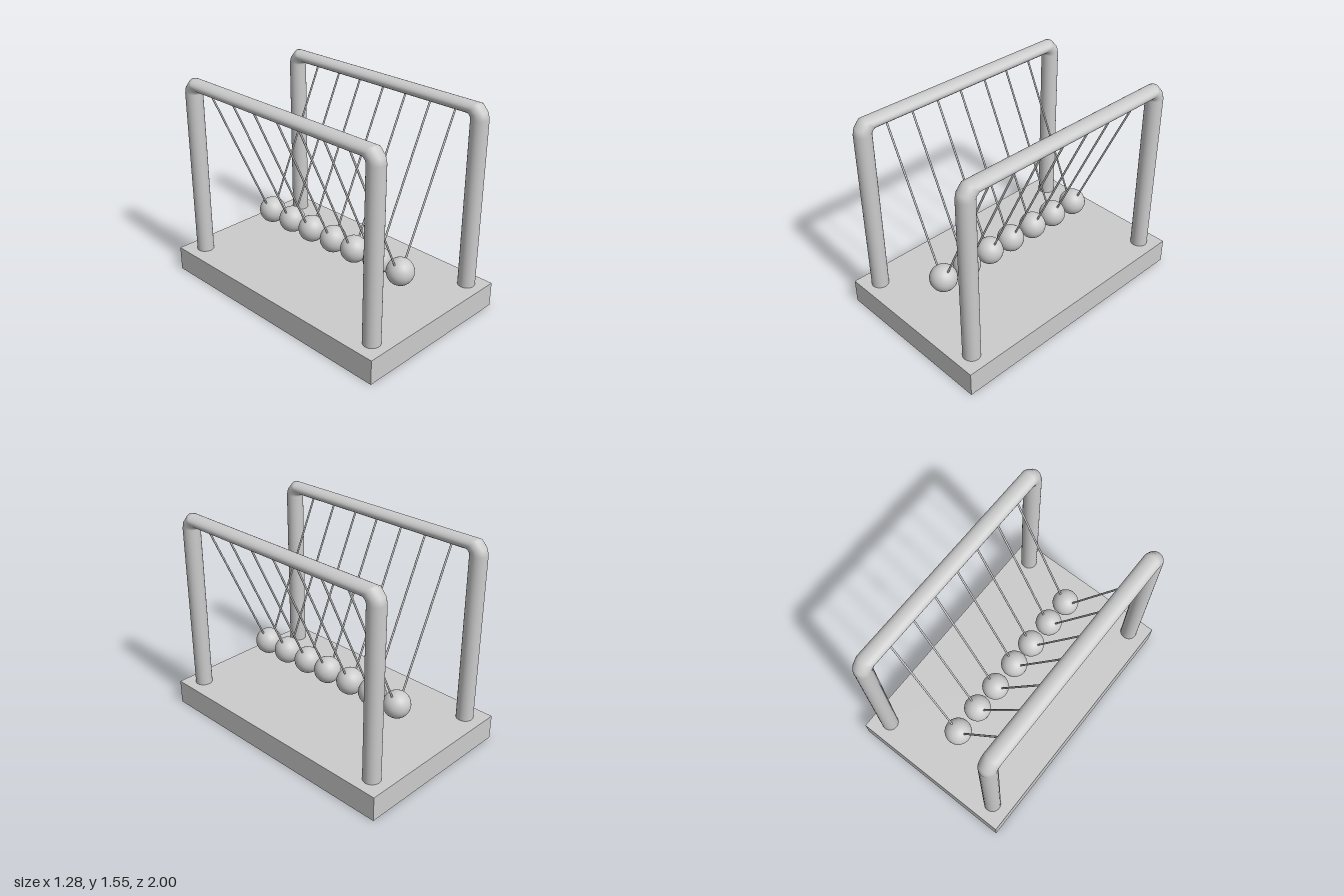
import * as THREE from 'three';

const BASE_TOP = 0.185;
const BALL_Y = 0.42;
const BALL_Z = [0.675, 0.46, 0.24, 0.032, -0.195, -0.408, -0.634];

// Pipe swept through rings; each ring spans an outer and inner point [z, y] and has half-width r in x
function ringPipe(rings, r, sides = 32) {
  const pos = [], index = [];
  for (const [[oz, oy], [iz, iy]] of rings) {
    for (let s = 0; s < sides; s++) {
      const a = (s / sides) * Math.PI * 2, c = Math.cos(a) / 2;
      pos.push(r * Math.sin(a), (oy + iy) / 2 + (oy - iy) * c, (oz + iz) / 2 + (oz - iz) * c);
    }
  }
  for (let k = 0; k < rings.length - 1; k++) {
    for (let s = 0; s < sides; s++) {
      const a = k * sides + s, b = k * sides + (s + 1) % sides;
      index.push(a, a + sides, b, b, a + sides, b + sides);
    }
  }
  const geo = new THREE.BufferGeometry();
  geo.setAttribute('position', new THREE.Float32BufferAttribute(pos, 3));
  geo.setIndex(index);
  geo.computeVertexNormals();
  return geo;
}

// Thin round rod between two points
function rod(from, to, radius) {
  const dir = to.clone().sub(from);
  const geo = new THREE.CylinderGeometry(radius, radius, dir.length(), 10);
  geo.applyQuaternion(new THREE.Quaternion().setFromUnitVectors(
    new THREE.Vector3(0, 1, 0), dir.normalize()));
  const mid = from.clone().add(to).multiplyScalar(0.5);
  return geo.translate(mid.x, mid.y, mid.z);
}

export function createModel() {
  const group = new THREE.Group();
  const material = new THREE.MeshStandardMaterial({ color: 0xcccccc });
  const pipeMaterial = new THREE.MeshStandardMaterial({ color: 0xcccccc, side: THREE.DoubleSide });
  const add = (name, geo, mat = material) => {
    const mesh = new THREE.Mesh(geo, mat);
    mesh.name = name;
    group.add(mesh);
    return mesh;
  };

  // Base slab
  add('base', new THREE.BoxGeometry(1.276, BASE_TOP, 2)).position.y = BASE_TOP / 2;

  // Two arched frames: round posts, chamfered elbows, flattened top bar
  const half = [
    [[0.93, BASE_TOP - 0.02], [0.805, BASE_TOP - 0.02]],
    [[0.93, 1.445], [0.805, 1.445]],
    [[0.918, 1.492], [0.798, 1.46]],
    [[0.868, 1.55], [0.783, 1.467]],
    [[0.84, 1.55], [0.775, 1.467]],
  ];
  const mirrored = half.map((ring) => ring.map(([z, y]) => [-z, y])).reverse();
  const frame = ringPipe([...half, ...mirrored], 0.063);
  add('leftFrame', frame, pipeMaterial).position.set(0.505, 0, 0.005);
  add('rightFrame', frame, pipeMaterial).position.set(-0.497, 0, 0.005);

  // Hanging balls, each on a pair of slanted strings
  const ball = new THREE.SphereGeometry(0.1, 32, 16);
  for (const z of BALL_Z) {
    add('ball', ball).position.set(0, BALL_Y, z);
    add('leftString', rod(new THREE.Vector3(0.048, 0.49, z), new THREE.Vector3(0.513, 1.487, z), 0.007));
    add('rightString', rod(new THREE.Vector3(-0.061, 0.49, z), new THREE.Vector3(-0.52, 1.487, z), 0.007));
  }
  return group;
}
